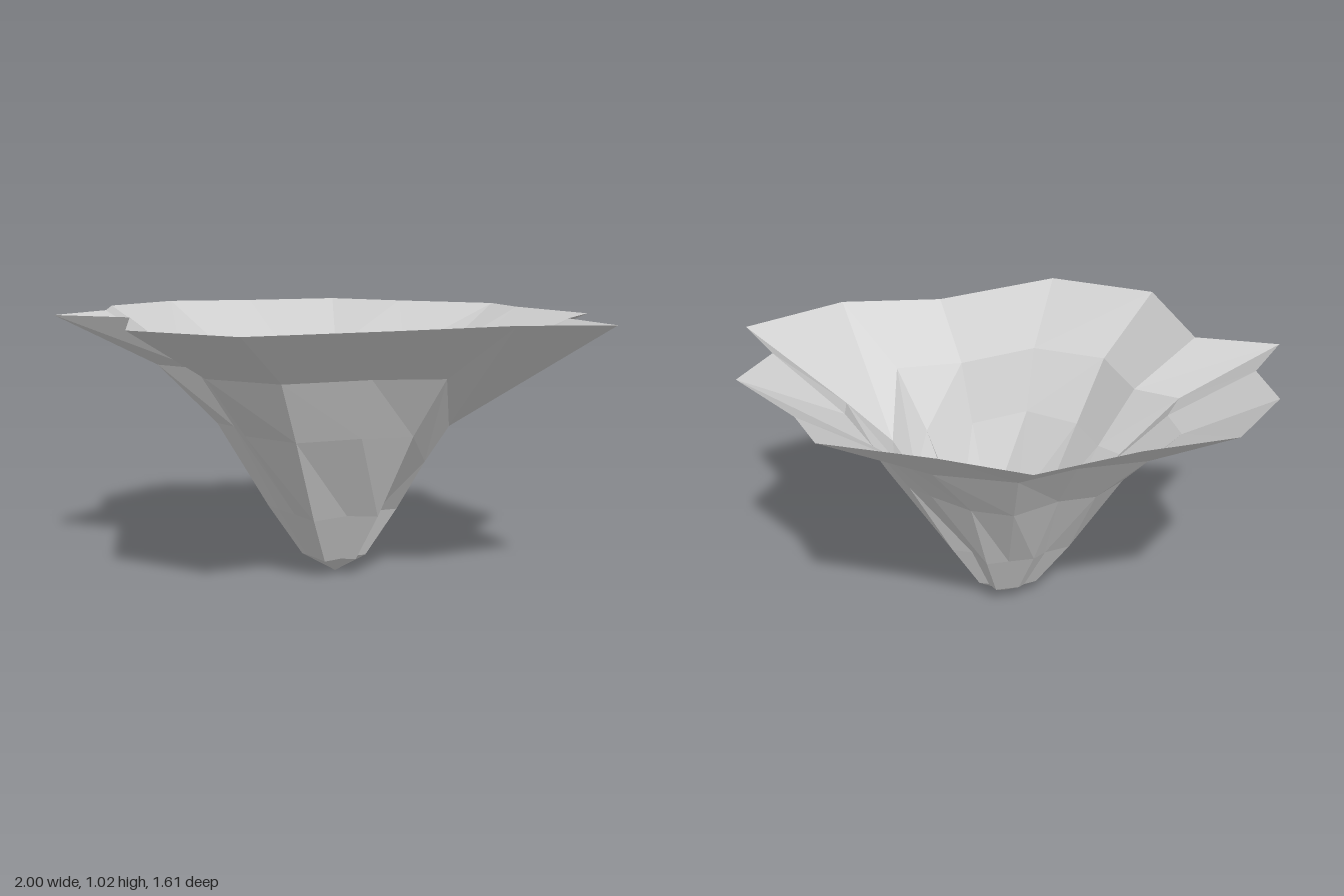
import * as THREE from 'three';

// Cross-sections of the crumpled funnel as x, z pairs, from the rim down.
// Each loop starts at the right tip (-x) and runs round by the back.
const RIM = [-1, -0.07, -0.82, -0.27, -0.81, -0.5, -0.57, -0.73, -0.23, -0.745, 0.14, -0.81,
  0.41, -0.64, 0.77, -0.45, 0.82, -0.25, 1, 0.09, 0.86, 0.29, 0.945, 0.565, 0.555, 0.7,
  0.16, 0.675, -0.35, 0.8, -0.71, 0.55, -0.715, 0.065];
const FLARE = [-0.62, -0.055, -0.53, -0.18, -0.53, -0.33, -0.35, -0.49, -0.1, -0.485, 0.12, -0.53,
  0.39, -0.41, 0.5, -0.26, 0.56, -0.16, 0.63, 0.06, 0.61, 0.2, 0.44, 0.24, 0.38, 0.46,
  0.12, 0.45, -0.2, 0.525, -0.45, 0.36, -0.48, 0.06];
const THROAT = [-0.4, -0.035, -0.32, -0.12, -0.35, -0.23, -0.22, -0.32, -0.08, -0.32, 0.1, -0.38,
  0.24, -0.31, 0.36, -0.18, 0.43, -0.09, 0.49, 0.05, 0.45, 0.13, 0.36, 0.2, 0.29, 0.33,
  0.1, 0.35, -0.14, 0.405, -0.31, 0.25, -0.34, 0.05];
const APEX = new THREE.Vector3(0.05, 0, 0);

const makeLoop = (y, pts) => Array.from({ length: pts.length / 2 },
  (_, i) => new THREE.Vector3(pts[2 * i], y, pts[2 * i + 1]));

// A lower loop, drawn in towards the apex; even and odd corners differ to form pleats
const drawIn = (loop, y, even, odd) => loop.map((p, i) =>
  new THREE.Vector3().lerpVectors(APEX, p, i % 2 ? odd : even).setY(y));

export function createModel() {
  const rim = makeLoop(1.005, RIM);
  const flare = makeLoop(0.815, FLARE);
  const throat = makeLoop(0.59, THROAT);
  // Raised rim corner, and the deep notch on the left below it
  rim[12].y = 1.02;
  flare[9].y = 0.84;
  flare[11].y = 0.61;
  throat[11].y = 0.47;

  const stem = drawIn(throat, 0.26, 0.57, 0.47);
  const nose = drawIn(stem, 0.07, 0.5, 0.5);
  const tip = nose.map(() => APEX);
  const loops = [rim, flare, throat, stem, nose, tip];

  // Skin neighbouring loops with the outside facing out
  const n = rim.length;
  const positions = [];
  const tri = (...corners) => corners.forEach((p) => positions.push(p.x, p.y, p.z));
  for (let r = 0; r < loops.length - 1; r++) {
    for (let i = 0; i < n; i++) {
      const j = (i + 1) % n;
      tri(loops[r][i], loops[r][j], loops[r + 1][i]);
      if (loops[r + 1] !== tip) tri(loops[r][j], loops[r + 1][j], loops[r + 1][i]);
    }
  }
  const geometry = new THREE.BufferGeometry();
  geometry.setAttribute('position', new THREE.Float32BufferAttribute(positions, 3));
  geometry.computeVertexNormals();

  const funnel = new THREE.Mesh(geometry, new THREE.MeshStandardMaterial({
    color: 0xcccccc, flatShading: true, side: THREE.DoubleSide,
  }));
  funnel.name = 'crumpledFunnel';
  const group = new THREE.Group();
  group.name = 'flower';
  group.add(funnel);
  return group;
}
